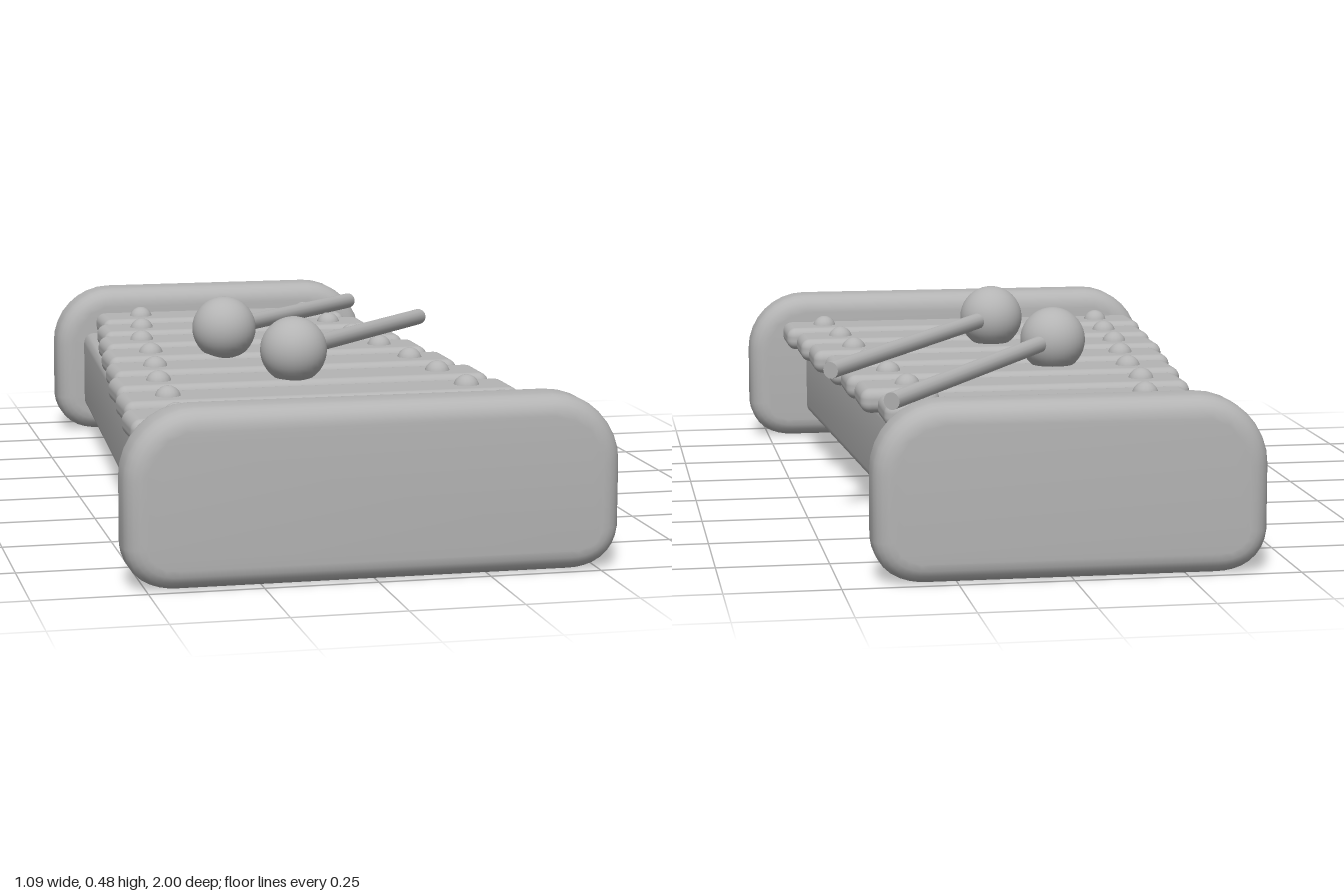
import * as THREE from 'three';
import { toCreasedNormals } from 'three/addons/utils/BufferGeometryUtils.js';
import { RoundedBoxGeometry } from 'three/addons/geometries/RoundedBoxGeometry.js';

const grey = new THREE.MeshStandardMaterial({ color: 0xb4b4b4 });
grey.name = 'plain grey';

function add(parent, name, geometry, x = 0, y = 0, z = 0) {
  const mesh = new THREE.Mesh(geometry, grey);
  mesh.name = name;
  mesh.position.set(x, y, z);
  parent.add(mesh);
  return mesh;
}

// Upright end board: large top corners, smaller bottom corners, soft edges
function endBoard(halfWidth) {
  const bevel = 0.045;
  const w = halfWidth - bevel, bottom = 0.003 + bevel, top = 0.393 - bevel;
  const rTop = 0.11, rLow = 0.05;
  const s = new THREE.Shape();
  s.moveTo(-w + rLow * 1.4, bottom);
  s.lineTo(w - rLow * 1.4, bottom);
  s.quadraticCurveTo(w - 0.005, bottom, w, bottom + rLow);
  s.lineTo(w, top - rTop);
  s.bezierCurveTo(w, top - rTop * 0.45, w - rTop * 0.45, top, w - rTop, top);
  s.lineTo(-w + rTop, top);
  s.bezierCurveTo(-w + rTop * 0.45, top, -w, top - rTop * 0.45, -w, top - rTop);
  s.lineTo(-w, bottom + rLow);
  s.quadraticCurveTo(-w + 0.005, bottom, -w + rLow * 1.4, bottom);
  const depth = 0.14 - 2 * bevel;
  const g = new THREE.ExtrudeGeometry(s, {
    depth, bevelEnabled: true, bevelSize: bevel, bevelThickness: bevel,
    bevelSegments: 5, curveSegments: 8,
  });
  g.translate(0, 0, -depth / 2);
  return toCreasedNormals(g, 0.7);
}

// Side rail that leans inward and narrows towards the back
function rail(frontX, backX) {
  const g = new RoundedBoxGeometry(1, 0.21, 1.8, 3, 0.028);
  const p = g.attributes.position;
  for (let i = 0; i < p.count; i++) {
    const t = (p.getZ(i) + 0.9) / 1.8;
    const width = THREE.MathUtils.lerp(0.105, 0.13, t);
    // keep the corner rounding proportionate after the width is squeezed
    const u = p.getX(i);
    const edge = Math.max(0, Math.abs(u) - 0.472);
    const flat = Math.min(Math.abs(u), 0.472) / 0.472 * (width / 2 - 0.028);
    p.setX(i, THREE.MathUtils.lerp(backX, frontX, t) + Math.sign(u) * (flat + edge));
  }
  return toCreasedNormals(g, 0.7);
}

// Mallet: ball with a thin stick leading to its tail end
function mallet(parent, name, head, tail) {
  const group = new THREE.Group();
  group.name = name;
  add(group, 'malletHead', new THREE.SphereGeometry(0.079, 32, 20), head.x, head.y, head.z);
  const along = tail.clone().sub(head);
  const mid = head.clone().add(tail).multiplyScalar(0.5);
  const stick = add(group, 'malletStick',
    new THREE.CylinderGeometry(0.02, 0.02, along.length(), 14), mid.x, mid.y, mid.z);
  stick.quaternion.setFromUnitVectors(new THREE.Vector3(0, 1, 0), along.normalize());
  parent.add(group);
}

export function createModel() {
  const model = new THREE.Group();
  model.name = 'xylophone';

  // Frame
  add(model, 'frontBoard', endBoard(0.547), 0, 0, 0.93);
  add(model, 'backBoard', endBoard(0.43), 0, 0, -0.93);
  add(model, 'rightRail', rail(-0.397, -0.304), 0, 0.17, 0);
  add(model, 'leftRail', rail(0.332, 0.248), 0, 0.17, 0);

  // Bars from back to front: z, right end, left end, right pin, left pin
  const bars = [
    [-0.76, -0.33, 0.337, -0.217, 0.238],
    [-0.55, -0.36, 0.36, -0.25, 0.257],
    [-0.343, -0.388, 0.39, -0.285, 0.273],
    [-0.137, -0.412, 0.4, -0.297, 0.292],
    [0.073, -0.434, 0.417, -0.322, 0.315],
    [0.28, -0.46, 0.437, -0.35, 0.328],
    [0.488, -0.476, 0.449, -0.365, 0.34],
    [0.706, -0.497, 0.466, -0.385, 0.36],
  ];
  const pin = new THREE.SphereGeometry(0.031, 16, 10);
  for (const [z, x0, x1, pinR, pinL] of bars) {
    add(model, 'bar', new RoundedBoxGeometry(x1 - x0, 0.058, 0.16, 4, 0.024),
      (x0 + x1) / 2, 0.306, z);
    for (const x of [pinR, pinL]) add(model, 'pin', pin, x, 0.327, z);
  }

  // Two mallets lying across the bars
  mallet(model, 'rearMallet', new THREE.Vector3(-0.118, 0.395, -0.097), new THREE.Vector3(0.36, 0.36, -0.745));
  mallet(model, 'frontMallet', new THREE.Vector3(-0.031, 0.4, 0.305), new THREE.Vector3(0.452, 0.37, -0.345));

  return model;
}
